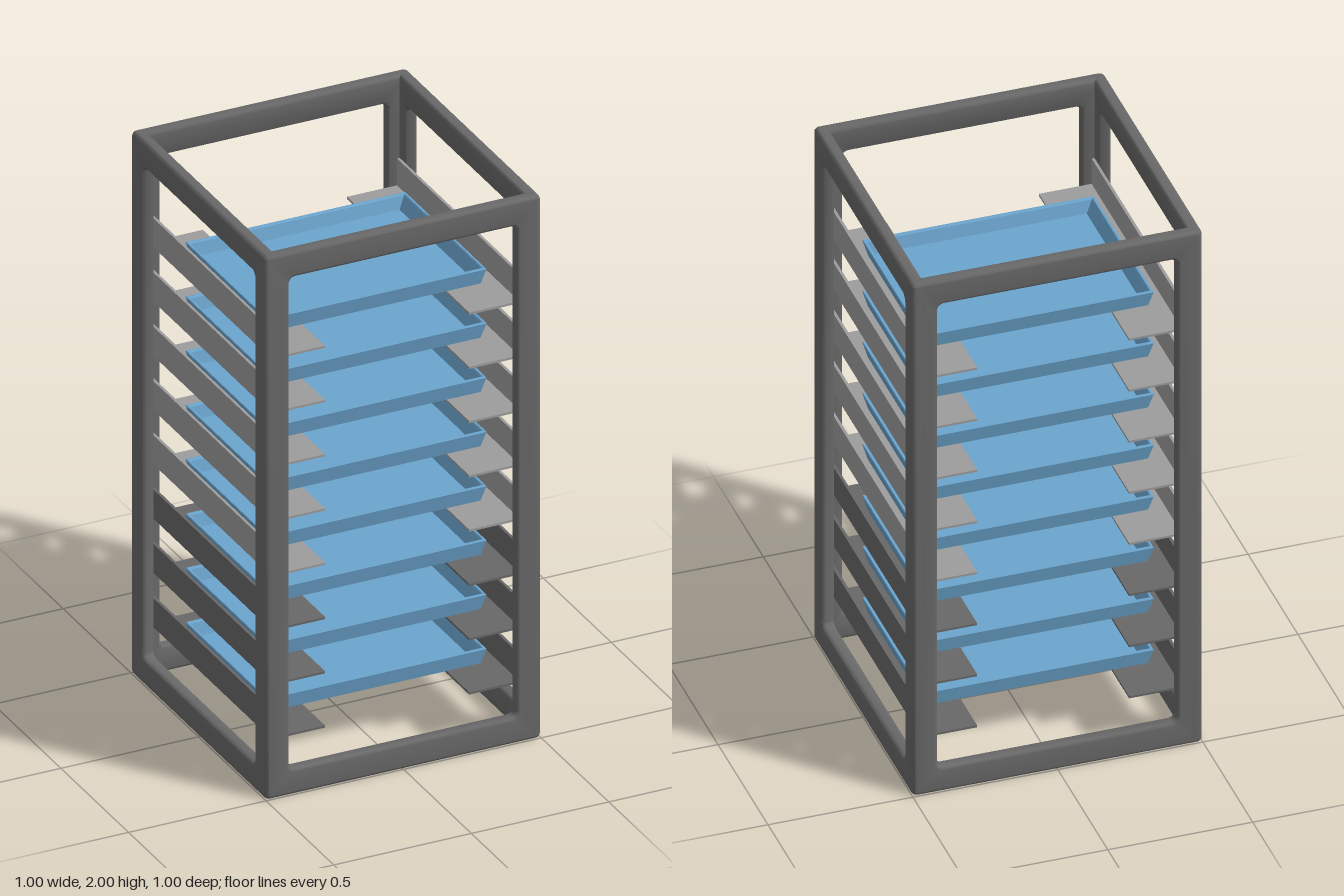
import * as THREE from 'three';
import { toCreasedNormals } from 'three/addons/utils/BufferGeometryUtils.js';

const frameGrey = new THREE.MeshStandardMaterial({ name: 'darkGrey', color: 0x686868 });
const railGrey = new THREE.MeshStandardMaterial({ name: 'lightGrey', color: 0x9c9c9c });
const trayBlue = new THREE.MeshStandardMaterial({ name: 'trayBlue', color: 0x6ba4cd });

function add(parent, name, geometry, material, x = 0, y = 0, z = 0) {
  const mesh = new THREE.Mesh(geometry, material);
  mesh.name = name;
  mesh.position.set(x, y, z);
  parent.add(mesh);
  return mesh;
}

// Rectangle with rounded corners, centred on the origin
function roundedRect(path, hx, hy, r) {
  path.absarc(hx - r, hy - r, r, 0, Math.PI / 2);
  path.absarc(-hx + r, hy - r, r, Math.PI / 2, Math.PI);
  path.absarc(-hx + r, -hy + r, r, Math.PI, Math.PI * 1.5);
  path.absarc(hx - r, -hy + r, r, Math.PI * 1.5, Math.PI * 2);
  path.closePath();
  return path;
}

// One windowed wall of the frame, with softened edges
function wallGeometry() {
  const thickness = 0.045, bevel = 0.013;
  const shape = roundedRect(new THREE.Shape(), 0.5, 1, 0.018);
  shape.holes.push(roundedRect(new THREE.Path(), 0.413, 0.905, 0.022));
  const geometry = new THREE.ExtrudeGeometry(shape, {
    depth: thickness - 2 * bevel, bevelEnabled: true, bevelThickness: bevel,
    bevelSize: bevel, bevelOffset: -bevel, bevelSegments: 4, curveSegments: 5,
  });
  geometry.translate(0, 0, 0.5 - thickness + bevel);
  return toCreasedNormals(geometry, 0.6);
}

// Tray skin lofted through rectangular loops [half width, half depth, height]
function trayGeometry() {
  const loops = [
    [0.384, 0.288, 0], [0.398, 0.299, 0.05], [0.4, 0.3, 0.054], [0.398, 0.298, 0.057],
    [0.391, 0.29, 0.057], [0.388, 0.286, 0.053], [0.366, 0.274, 0.01],
  ].map(([x, z, y]) => [[x, y, z], [x, y, -z], [-x, y, -z], [-x, y, z]]);
  const points = [];
  const quad = (a, b, c, d) => points.push(...a, ...b, ...c, ...a, ...c, ...d);
  for (let j = 0; j < loops.length - 1; j++) {
    for (let i = 0; i < 4; i++) {
      const k = (i + 1) % 4;
      quad(loops[j][i], loops[j][k], loops[j + 1][k], loops[j + 1][i]);
    }
  }
  quad(...loops[0].slice().reverse());
  quad(...loops[loops.length - 1]);
  const geometry = new THREE.BufferGeometry();
  geometry.setAttribute('position', new THREE.Float32BufferAttribute(points, 3));
  geometry.computeVertexNormals();
  return geometry;
}

export function createModel() {
  const model = new THREE.Group();
  model.name = 'trayRack';

  // Open box frame: four windowed walls
  const frame = new THREE.Group();
  frame.name = 'frame';
  model.add(frame);
  const wall = wallGeometry();
  ['frontFrame', 'leftFrame', 'backFrame', 'rightFrame'].forEach((name, i) => {
    add(frame, name, wall, frameGrey, 0, 1, 0).rotation.y = i * Math.PI / 2;
  });

  // Eight levels, each with a pair of angle rails and a tray
  const ledge = new THREE.BoxGeometry(0.192, 0.008, 0.904);
  const web = new THREE.BoxGeometry(0.01, 0.107, 0.904);
  const tray = trayGeometry();
  for (let i = 1; i <= 8; i++) {
    const level = new THREE.Group();
    level.name = 'level' + i;
    level.position.y = i * 0.2;
    model.add(level);
    const material = i <= 3 ? frameGrey : railGrey;
    for (const side of [1, -1]) {
      const prefix = side > 0 ? 'left' : 'right';
      add(level, prefix + 'RailLedge', ledge, material, side * 0.358, -0.004);
      add(level, prefix + 'RailWeb', web, material, side * 0.449, 0.0455);
    }
    add(level, 'tray', tray, trayBlue, 0, 0.002);
  }
  return model;
}
